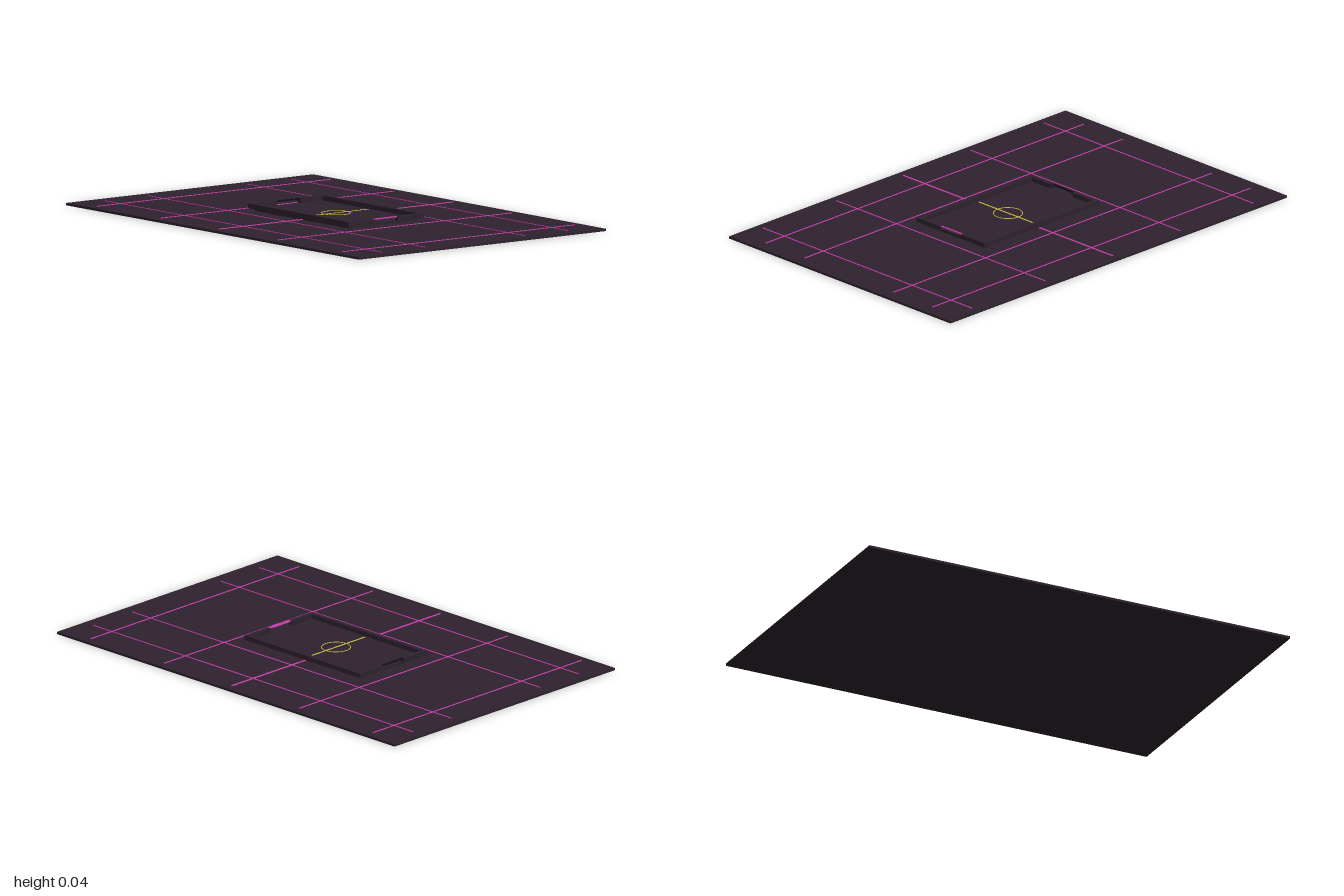
import * as THREE from 'three';

const mat = (name, color) => {
  const m = new THREE.MeshStandardMaterial({ color });
  m.name = name;
  return m;
};

export function createModel() {
  const model = new THREE.Group();
  model.name = 'tableCourt';
  const plum = mat('darkPlum', 0x2d222d);
  const black = mat('nearBlack', 0x151015);
  const pink = mat('pink', 0xd040b0);
  const yellow = mat('yellow', 0xd0c040);

  // Box spanning y0 to y1, centred on x and z
  const box = (name, m, w, d, y0, y1, x = 0, z = 0) => {
    const mesh = new THREE.Mesh(new THREE.BoxGeometry(w, y1 - y0, d), m);
    mesh.position.set(x, (y0 + y1) / 2, z);
    mesh.name = name;
    model.add(mesh);
  };

  // Floor and its painted grid
  box('floor', plum, 1.333, 2, 0, 0.01);
  for (const x of [-0.502, -0.268, 0.268, 0.502])
    box('floorLineLong', pink, 0.005, 1.89, 0.01, 0.012, x);
  for (const z of [-0.835, -0.4, 0.4, 0.835])
    box('floorLineCross', pink, 1.26, 0.005, 0.01, 0.0125, 0, z);
  box('floorCentreLine', pink, 1.26, 0.008, 0.01, 0.0125);

  // Raised playing bed
  box('bed', plum, 0.364, 0.644, 0.01, 0.022);
  box('bedCentreLine', yellow, 0.35, 0.007, 0.022, 0.0235);
  const ring = new THREE.Mesh(new THREE.TorusGeometry(0.062, 0.002, 6, 32), yellow);
  ring.name = 'centreRing';
  ring.rotation.x = -Math.PI / 2;
  ring.position.y = 0.0225;
  model.add(ring);

  // Rails, with a goal gap in each end
  for (const s of [-1, 1]) {
    box('sideRail', plum, 0.021, 0.684, 0.022, 0.042, s * 0.1935);
    for (const e of [-1, 1])
      box('endRail', plum, 0.12, 0.02, 0.022, 0.042, s * 0.123, e * 0.332);
  }

  // Goal crossbars
  box('frontGoalBar', pink, 0.126, 0.006, 0.037, 0.042, 0, 0.332);
  box('backGoalBar', black, 0.126, 0.008, 0.036, 0.042, 0, -0.332);
  return model;
}
